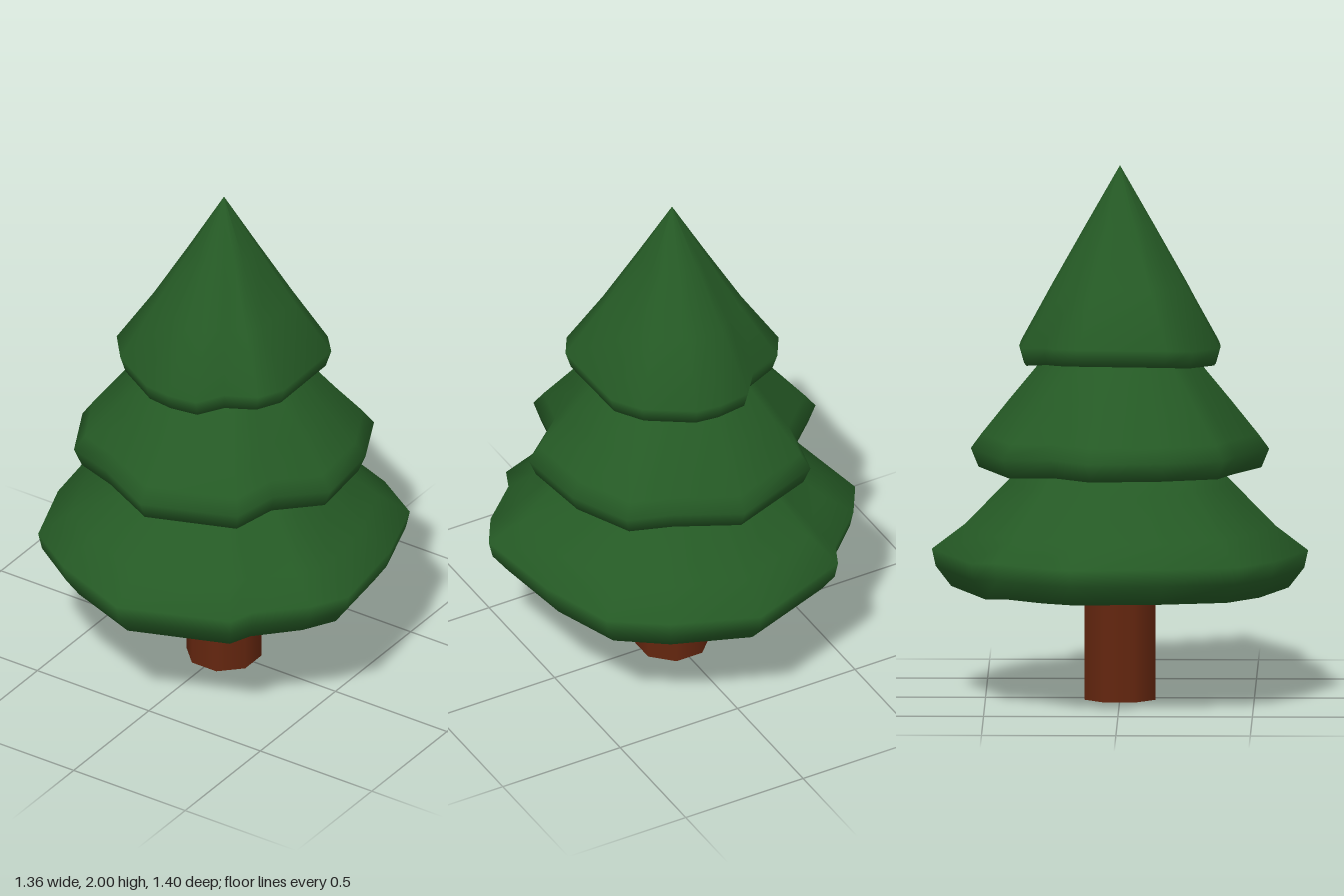
import * as THREE from 'three';

// Skins closed rings, ordered from the apex to the underside, with shared vertices for smooth shading.
function skin(rings) {
  const n = rings[0].length;
  const index = [];
  for (let r = 0; r < rings.length - 1; r++) {
    for (let i = 0; i < n; i++) {
      const j = (i + 1) % n;
      const a = r * n + i, b = r * n + j, c = a + n, d = b + n;
      index.push(a, b, d, a, d, c);
    }
  }
  // Close the apex and the underside with fans
  const tip = rings.length * n, base = tip + 1, last = tip - n;
  for (let i = 0; i < n; i++) {
    const j = (i + 1) % n;
    index.push(tip, j, i, base, last + i, last + j);
  }
  const centre = (ring) => [0, ring[0][1], 0];
  const points = [...rings.flat(), centre(rings[0]), centre(rings[rings.length - 1])];
  const geometry = new THREE.BufferGeometry();
  geometry.setAttribute('position', new THREE.Float32BufferAttribute(points.flat(), 3));
  geometry.setIndex(index);
  geometry.computeVertexNormals();
  return geometry;
}

// outline: rim corners [x, z] for half a turn, repeated after turning by 180 degrees.
// profile: [scale, y] of each ring; rings get rounder as they shrink, and the rim waves up and down.
function branches(name, material, ripple, outline, profile) {
  const rim = [...outline, ...outline.map(([x, z]) => [-x, -z])];
  const mean = rim.reduce((sum, [x, z]) => sum + Math.hypot(x, z), 0) / rim.length;
  const rings = profile.map(([scale, y]) => rim.map(([x, z], i) => {
    const k = scale * (scale + (1 - scale) * mean / Math.hypot(x, z));
    const wave = scale > 0.85 ? -ripple * Math.cos(2 * Math.PI * i / outline.length) : 0;
    return [x * k, y + wave, z * k];
  }));
  const mesh = new THREE.Mesh(skin(rings), material);
  mesh.name = name;
  return mesh;
}

export function createModel() {
  const tree = new THREE.Group();
  tree.name = 'pineTree';
  const needles = new THREE.MeshStandardMaterial({ color: 0x255a25 });
  needles.name = 'needle green';
  const bark = new THREE.MeshStandardMaterial({ color: 0x64260f });
  bark.name = 'bark brown';

  // Eight-sided trunk with its flats facing the axes
  const trunk = new THREE.Mesh(new THREE.CylinderGeometry(0.143, 0.143, 0.52, 8), bark);
  trunk.name = 'trunk';
  trunk.rotation.y = Math.PI / 8;
  trunk.position.y = 0.26;

  // Three overlapping skirts of branches
  const lower = branches('lowerBranches', needles, 0.008,
    [[0.01, -0.7], [0.33, -0.58], [0.53, -0.45], [0.63, -0.17], [0.68, 0.18], [0.6, 0.31], [0.44, 0.46], [0.4, 0.55]],
    [[0.46, 0.92], [0.61, 0.81], [0.83, 0.65], [1, 0.565], [0.98, 0.5], [0.9, 0.425], [0.5, 0.455], [0.15, 0.5]]);
  const middle = branches('middleBranches', needles, 0.008,
    [[0, -0.555], [0.24, -0.435], [0.41, -0.39], [0.52, -0.17], [0.55, 0.11], [0.39, 0.25], [0.35, 0.43]],
    [[0.35, 1.36], [0.53, 1.27], [0.75, 1.12], [0.93, 1], [1, 0.945], [0.95, 0.875], [0.6, 0.9], [0.3, 0.95]]);
  const top = branches('topBranches', needles, 0.018,
    [[0, -0.375], [0.1, -0.37], [0.28, -0.275], [0.36, -0.18], [0.37, 0.15], [0.315, 0.24], [0.19, 0.28], [0.12, 0.365]],
    [[0.001, 2], [0.33, 1.78], [0.66, 1.56], [1, 1.34], [0.95, 1.275], [0.6, 1.3], [0.3, 1.33]]);

  tree.add(trunk, lower, middle, top);
  return tree;
}
